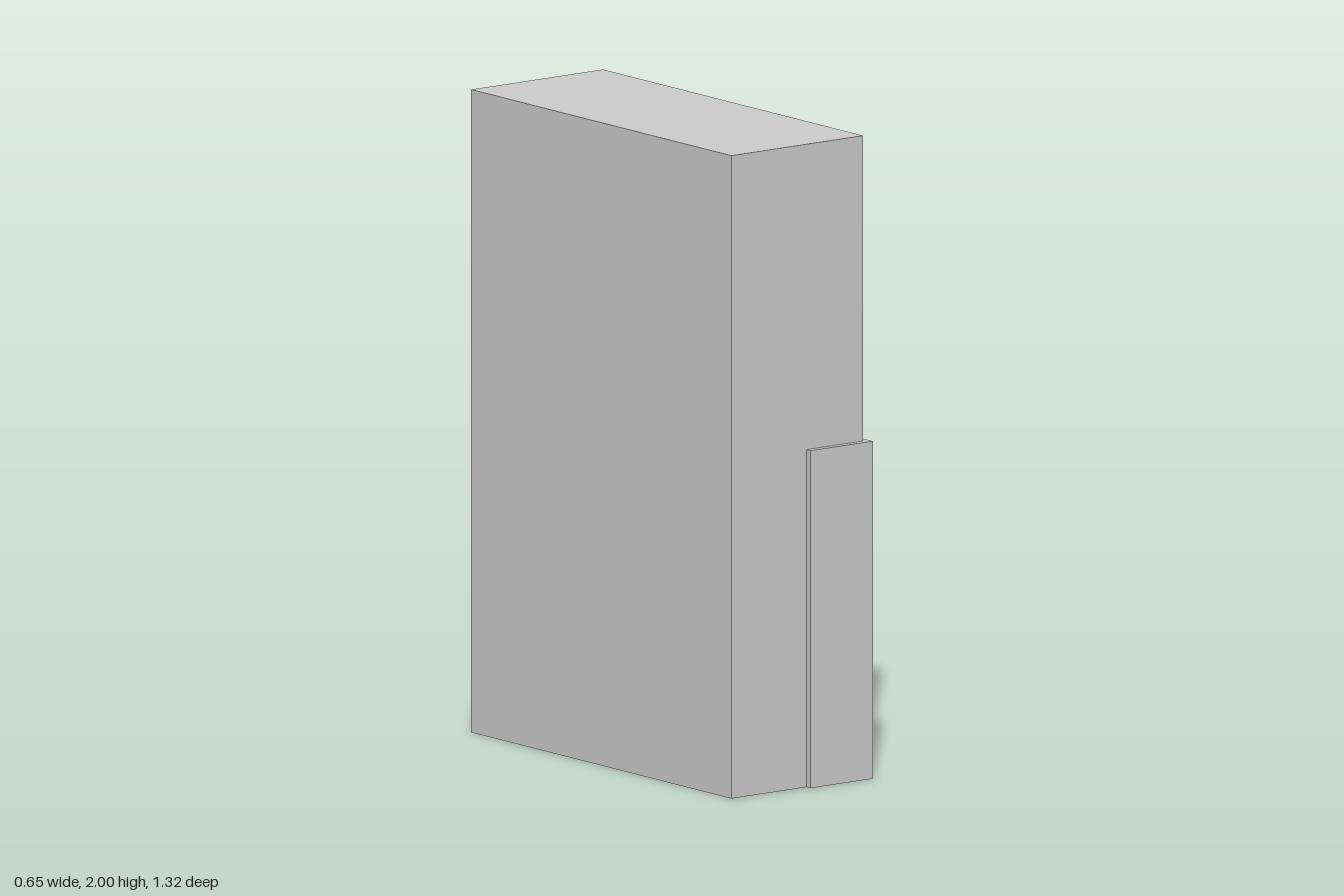
import * as THREE from 'three';

const material = new THREE.MeshStandardMaterial({ color: 0xcccccc });

function addMesh(parent, name, geometry) {
  const mesh = new THREE.Mesh(geometry, material);
  mesh.name = name;
  parent.add(mesh);
  return mesh;
}

// Straight bar, two-step quarter bend, straight grip, sampled at the joints only
class HandlePath extends THREE.Curve {
  getUtoTmapping(u) { return u; }
  angle(t) { return THREE.MathUtils.clamp(Math.round(t * 4) - 1, 0, 2) * Math.PI / 4; }
  getPoint(t, target = new THREE.Vector3()) {
    const i = Math.round(t * 4), a = this.angle(t), r = 0.062;
    target.set(0.239 + r * Math.sin(a), 0.922, 0.441 + r * Math.cos(a));
    if (i === 0) target.x = 0.195;
    if (i === 4) target.z = 0.28;
    return target;
  }
  getTangent(t, target = new THREE.Vector3()) {
    const a = this.angle(t);
    return target.set(Math.cos(a), 0, -Math.sin(a));
  }
}

export function createModel() {
  const model = new THREE.Group();
  model.name = 'doorWithCornerPlate';

  // Main slab
  const slab = addMesh(model, 'slab', new THREE.BoxGeometry(0.508, 2, 1.297));
  slab.position.set(-0.071, 1, -0.0115);

  // L-shaped plate wrapped round the front left corner, drawn in plan
  const x0 = -0.035, x1 = 0.183, x2 = 0.205, z0 = 0.188, z1 = 0.637, z2 = 0.657;
  const plan = new THREE.Shape([
    [x0, z2], [x2, z2], [x2, z0], [x1, z0], [x1, z1], [x0, z1],
  ].map(([x, z]) => new THREE.Vector2(x, -z)));
  const plate = new THREE.ExtrudeGeometry(plan, { depth: 1.05, bevelEnabled: false });
  plate.rotateX(-Math.PI / 2);
  addMesh(model, 'cornerPlate', plate);

  // Bent lever handle with a flat end
  const handle = new THREE.Group();
  handle.name = 'handle';
  model.add(handle);
  addMesh(handle, 'lever', new THREE.TubeGeometry(new HandlePath(), 4, 0.021, 16));
  const cap = addMesh(handle, 'leverEnd', new THREE.CircleGeometry(0.021, 16));
  cap.rotation.y = Math.PI;
  cap.position.set(0.301, 0.922, 0.28);

  return model;
}
